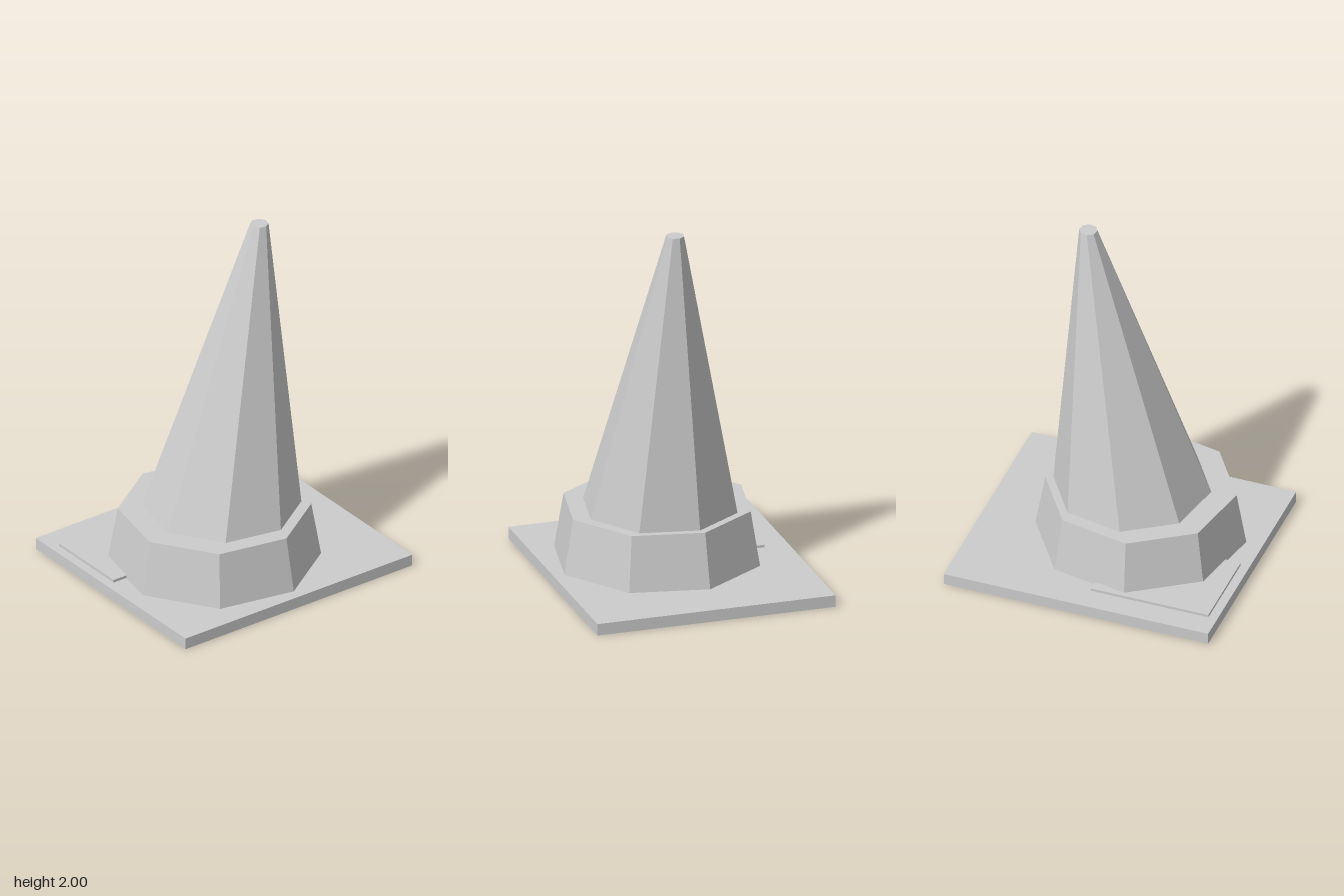
import * as THREE from 'three';

export function createModel() {
  const model = new THREE.Group();
  const grey = new THREE.MeshStandardMaterial({ color: 0xcccccc, flatShading: true });
  grey.name = 'light grey';

  const add = (name, geometry) => {
    const mesh = new THREE.Mesh(geometry, grey);
    mesh.name = name;
    model.add(mesh);
  };

  // Box given by its lower and upper corners
  const box = (name, [x0, y0, z0], [x1, y1, z1]) =>
    add(name, new THREE.BoxGeometry(x1 - x0, y1 - y0, z1 - z0)
      .translate((x0 + x1) / 2, (y0 + y1) / 2, (z0 + z1) / 2));

  // Eight-sided frustum whose top may be shifted sideways by lean
  const frustum = (name, rTop, rBottom, y0, y1, x, z, lean = 0) => {
    const h = y1 - y0;
    const geometry = new THREE.CylinderGeometry(rTop, rBottom, h, 8)
      .rotateY(THREE.MathUtils.degToRad(11.4))
      .translate(0, h / 2, 0);
    const p = geometry.attributes.position;
    for (let i = 0; i < p.count; i++) p.setX(i, p.getX(i) + lean * p.getY(i) / h);
    geometry.computeVertexNormals();
    add(name, geometry.translate(x, y0, z));
  };

  // Ground slab and the thin plate on its back right corner
  box('baseSlab', [-0.75, 0, -0.667], [0.75, 0.065, 0.667]);
  box('cornerPlate', [-0.7, 0.065, -0.53], [-0.035, 0.08, -0.04]);

  // Octagonal collar and leaning spire
  frustum('collar', 0.515, 0.567, 0.065, 0.37, -0.1, 0.05);
  frustum('leaningSpire', 0.049, 0.425, 0.37, 2, -0.052, 0.048, 0.25);

  return model;
}
